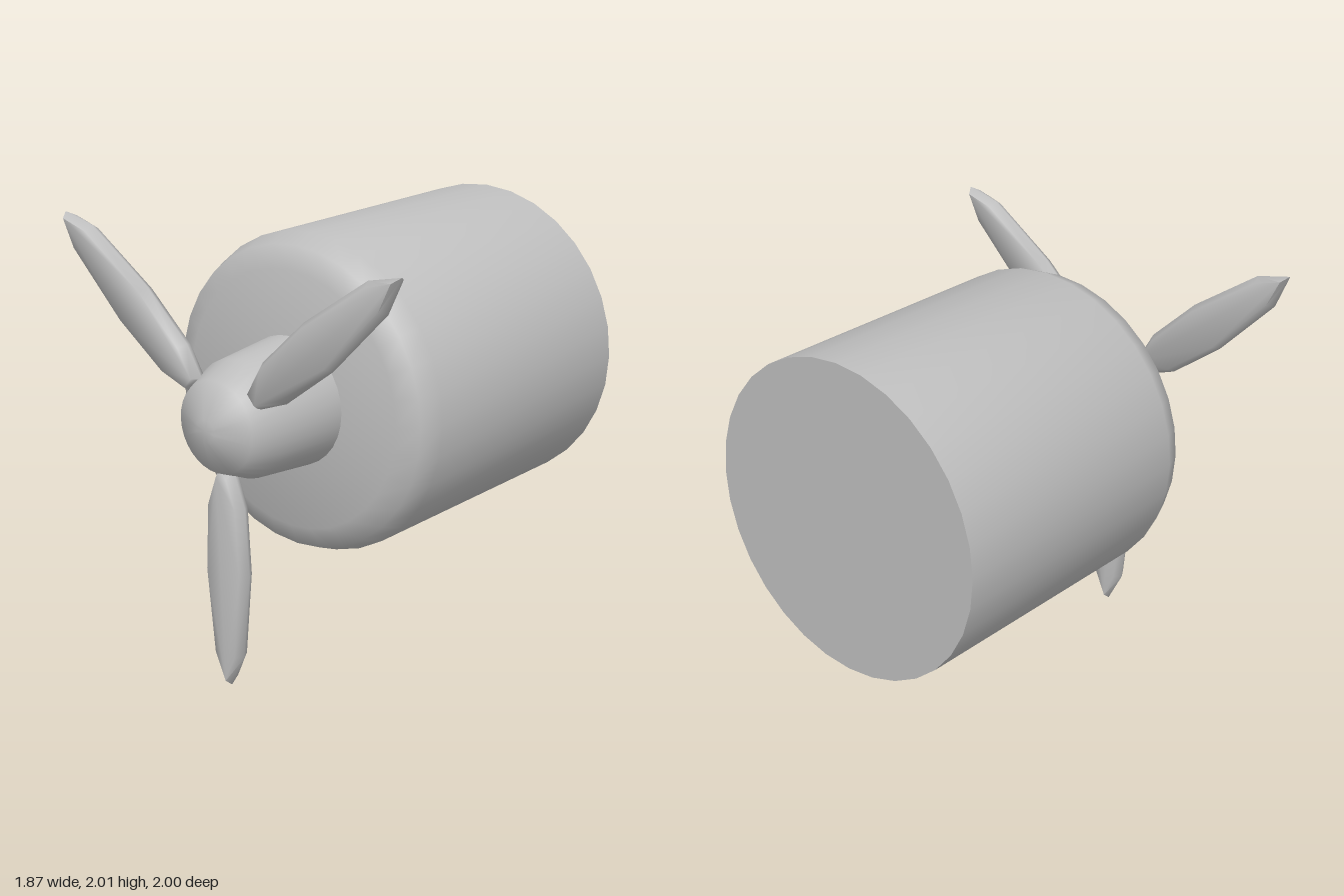
import * as THREE from 'three';
import { toCreasedNormals } from 'three/addons/utils/BufferGeometryUtils.js';

const AXIS_Y = 1.222;

export function createModel() {
  const model = new THREE.Group();
  model.name = 'propellerEngine';
  const metal = new THREE.MeshStandardMaterial({ color: 0xbebebe });
  metal.name = 'grey metal';

  // Turned part along z from [radius, z] points, back to front
  function turned(name, profile) {
    const points = profile.map(([r, z]) => new THREE.Vector2(r, z));
    const lathe = new THREE.LatheGeometry(points, 32).rotateX(Math.PI / 2);
    const mesh = new THREE.Mesh(toCreasedNormals(lathe, 0.95), metal);
    mesh.name = name;
    mesh.position.y = AXIS_Y;
    model.add(mesh);
  }

  // Engine cowling with a rounded front lip
  turned('cowling', [[0, -1], [0.73, -1], [0.73, 0.32], [0.69, 0.42], [0.59, 0.463], [0, 0.463]]);

  // Spinner: tapered sleeve and rounded nose
  turned('spinner', [[0.295, 0.46], [0.265, 0.79], [0.205, 0.935], [0.05, 1], [0, 1]]);

  // Blade outline: [half width, distance from the axis]
  const side = [[0.045, 0.213], [0.1, 0.365], [0.117, 0.675], [0.078, 1.07]];
  const outline = [
    ...side,
    [0, 1.222],
    ...side.slice().reverse().map(([w, d]) => [-w, d]),
  ].map(([x, y]) => new THREE.Vector2(x, y));

  // Thin blade whose rim lies midway between the front and back faces
  const bladeGeometry = toCreasedNormals(
    new THREE.ExtrudeGeometry(new THREE.Shape(outline), {
      depth: 0.002,
      bevelThickness: 0.04,
      bevelSize: 0.023,
      bevelOffset: -0.023,
      bevelSegments: 1,
    }),
    1.08
  );

  // One blade down, two raised
  const blades = [['lowerBlade', 180], ['leftBlade', -50], ['rightBlade', 50]];
  for (const [name, degrees] of blades) {
    const blade = new THREE.Mesh(bladeGeometry, metal);
    blade.name = name;
    blade.position.set(0, AXIS_Y, 0.872);
    blade.rotation.z = THREE.MathUtils.degToRad(degrees);
    model.add(blade);
  }

  return model;
}
